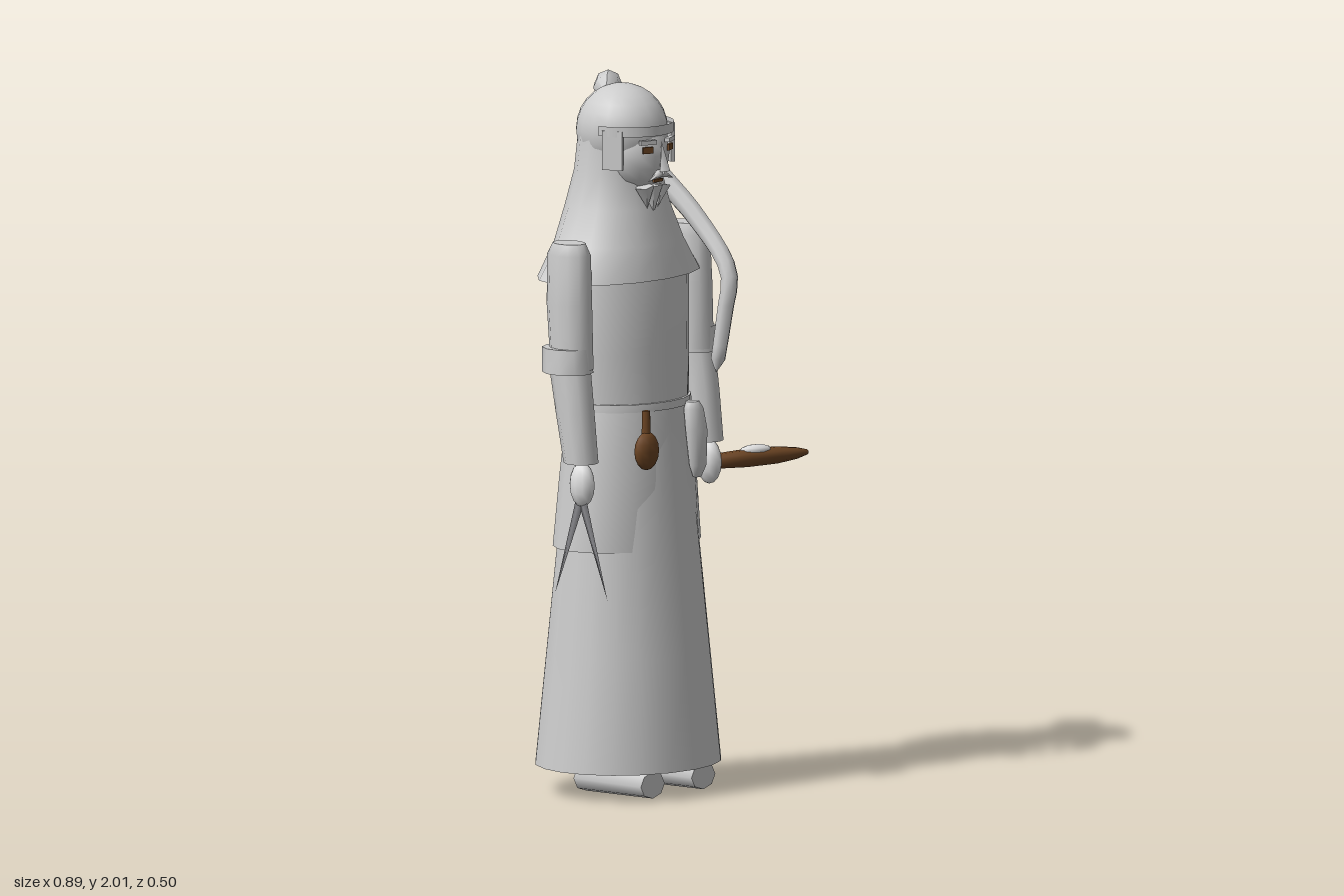
import * as THREE from 'three';

const mat = (name, color) => Object.assign(new THREE.MeshStandardMaterial({ color }), { name });
const cloth = mat('pale grey', 0xcccccc);
const white = mat('off white', 0xe0e0e0);
const brown = mat('brown leather', 0x6b4423);
const steel = mat('steel grey', 0x8c8c90);
const CX = -0.122; // middle of the body

// Closed skin over horizontal elliptical rings [x, y, z, rx, rz], listed from bottom to top
function loft(rings, n = 16) {
  const pos = [], idx = [];
  const ring = ([x, y, z, rx, rz]) => {
    for (let i = 0; i < n; i++) {
      const a = (i / n) * Math.PI * 2;
      pos.push(x + rx * Math.sin(a), y, z + rz * Math.cos(a));
    }
  };
  rings.forEach(ring);
  for (let r = 0; r < rings.length - 1; r++) for (let i = 0; i < n; i++) {
    const a = r * n + i, b = r * n + (i + 1) % n;
    idx.push(a, b, b + n, a, b + n, a + n);
  }
  // separate cap vertices keep the rims sharp
  for (const [r, up] of [[rings[0], false], [rings[rings.length - 1], true]]) {
    const s = pos.length / 3;
    ring(r);
    for (let i = 1; i < n - 1; i++) idx.push(s, up ? s + i : s + i + 1, up ? s + i + 1 : s + i);
  }
  const g = new THREE.BufferGeometry();
  g.setAttribute('position', new THREE.Float32BufferAttribute(pos, 3));
  g.setIndex(idx);
  g.computeVertexNormals();
  return g;
}

// Tube along a curve whose radius follows a rule; a zero radius closes the end
function taperedTube(points, radius, segs, sides) {
  const curve = new THREE.CatmullRomCurve3(points.map((p) => new THREE.Vector3(...p)));
  const g = new THREE.TubeGeometry(curve, segs, 1, sides);
  const p = g.attributes.position, v = new THREE.Vector3(), c = new THREE.Vector3();
  for (let i = 0; i < p.count; i++) {
    const k = Math.floor(i / (sides + 1));
    curve.getPointAt(k / segs, c);
    v.fromBufferAttribute(p, i).sub(c).multiplyScalar(k === 0 || k === segs ? 0 : radius(k / segs)).add(c);
    p.setXYZ(i, v.x, v.y, v.z);
  }
  g.computeVertexNormals();
  return g;
}

export function createModel() {
  const model = new THREE.Group();
  model.name = 'robedFigure';
  const add = (name, geo, m = cloth, x = 0, y = 0, z = 0, parent = model) => {
    const mesh = new THREE.Mesh(geo, m);
    mesh.name = name;
    mesh.position.set(x, y, z);
    parent.add(mesh);
    return mesh;
  };
  const ball = (name, m, x, y, z, sx, sy, sz, w = 14, h = 10) => {
    const mesh = add(name, new THREE.SphereGeometry(1, w, h), m, x, y, z);
    mesh.scale.set(sx, sy, sz);
    return mesh;
  };

  // Robe
  add('skirt', loft([
    [CX, 0.083, -0.005, 0.28, 0.245], [CX, 0.4, -0.005, 0.247, 0.215],
    [CX, 0.75, -0.005, 0.212, 0.18], [CX, 1.05, -0.003, 0.18, 0.155]], 20));
  add('tunicSkirt', loft([
    [CX, 0.7, -0.01, 0.238, 0.178], [CX, 0.9, -0.006, 0.217, 0.168], [CX, 1.1, -0.003, 0.193, 0.152]], 20));
  add('torso', loft([
    [CX, 1.09, -0.003, 0.19, 0.148], [CX, 1.25, -0.003, 0.198, 0.14],
    [CX, 1.45, -0.005, 0.205, 0.135], [CX, 1.54, -0.01, 0.18, 0.11]], 20));
  add('belt', loft([[CX, 1.09, -0.003, 0.197, 0.156], [CX, 1.112, -0.003, 0.196, 0.155]], 20));

  // Hood with shoulder cape
  add('cape', loft([
    [CX, 1.455, -0.04, 0.278, 0.18], [CX, 1.55, -0.04, 0.205, 0.158], [CX, 1.65, -0.045, 0.157, 0.137],
    [CX, 1.75, -0.045, 0.13, 0.112], [CX, 1.86, -0.04, 0.122, 0.105]], 16));
  ball('hoodCrown', cloth, CX - 0.003, 1.86, -0.025, 0.125, 0.13, 0.133, 18, 14);
  const brim = add('hoodBrim', new THREE.CylinderGeometry(0.126, 0.126, 0.028, 14, 1, true,
    -Math.PI / 2, Math.PI), cloth, CX - 0.003, 1.873, 0);
  brim.material.side = THREE.DoubleSide;
  for (const s of [-1, 1]) {
    const flap = add('hoodCheek', new THREE.BoxGeometry(0.012, 0.11, 0.06), cloth, CX + s * 0.115, 1.82, 0.04);
    flap.rotation.y = s * -0.35;
  }
  add('hoodTail', taperedTube([
    [-0.14, 1.955, -0.07], [-0.075, 1.972, -0.12], [-0.01, 1.91, -0.165], [0.025, 1.8, -0.13],
    [0.05, 1.7, -0.03], [0.058, 1.6, 0.09], [0.048, 1.46, 0.218], [0.035, 1.35, 0.215], [0.015, 1.18, 0.2]],
  (t) => 0.04 - 0.02 * t, 28, 8));

  // Face
  ball('face', cloth, CX - 0.003, 1.8, 0.015, 0.098, 0.115, 0.105);
  const nose = add('nose', new THREE.ConeGeometry(0.02, 0.085, 4), cloth, CX - 0.003, 1.8, 0.128);
  nose.rotation.x = -0.15;
  for (const s of [-1, 1]) {
    const x = CX - 0.003 + s * 0.046;
    add('eye', new THREE.BoxGeometry(0.03, 0.018, 0.008), brown, x, 1.82, 0.112).rotation.y = s * 0.4;
    add('eyebrow', new THREE.BoxGeometry(0.05, 0.012, 0.014), cloth, x, 1.842, 0.112).rotation.y = s * 0.4;
    const whisker = add('moustache', new THREE.ConeGeometry(0.012, 0.055, 5), cloth, CX - 0.003 + s * 0.028, 1.742, 0.118);
    whisker.rotation.z = s * -1.95;
  }
  add('mouth', new THREE.BoxGeometry(0.036, 0.008, 0.008), brown, CX - 0.003, 1.73, 0.108);
  for (const [dx, len, tilt] of [[0, 0.09, 0], [-0.028, 0.065, -0.2], [0.028, 0.065, 0.2]]) {
    const lock = add('beard', new THREE.ConeGeometry(0.028, len, 5), cloth, CX - 0.003 + dx, 1.7 - len / 2 + 0.015, 0.088);
    lock.rotation.set(Math.PI, 0, tilt);
  }

  // Arms and shoes
  for (const s of [-1, 1]) {
    const X = (d) => CX + s * d;
    add('upperSleeve', loft([
      [X(0.252), 1.22, 0.01, 0.053, 0.065], [X(0.252), 1.4, 0, 0.054, 0.07],
      [X(0.25), 1.54, -0.003, 0.05, 0.068], [X(0.247), 1.572, -0.005, 0.04, 0.05]], 12));
    add('sleeveCuff', loft([[X(0.262), 1.21, 0.003, 0.066, 0.075], [X(0.262), 1.28, -0.002, 0.062, 0.073]], 10));
    add('forearm', loft([
      [X(0.262), 0.96, 0.052, 0.047, 0.05], [X(0.262), 1.1, 0.03, 0.05, 0.057], [X(0.26), 1.23, 0.008, 0.052, 0.062]], 10));
    ball('hand', white, X(0.266), 0.9, 0.06, 0.031, 0.063, 0.04, 10, 8);
    const shoe = add('shoe', new THREE.CylinderGeometry(0.05, 0.056, 0.245, 8), cloth, X(0.106), 0.046, 0.058);
    shoe.rotation.x = Math.PI / 2;
    shoe.scale.z = 0.75;
  }

  // Open shears in the right hand
  const shears = new THREE.Group();
  shears.name = 'shears';
  shears.position.set(-0.392, 0.87, 0.06);
  model.add(shears);
  for (const s of [-1, 1]) {
    const blade = add('blade', new THREE.ConeGeometry(0.017, 0.31, 4), steel, 0, -0.14, s * 0.047, shears);
    blade.rotation.set(Math.PI - s * 0.33, 0, 0);
    blade.scale.x = 0.4;
  }

  // Roll held in the left hand, with a pale patch on top
  const roll = new THREE.Group();
  roll.name = 'roll';
  roll.position.set(0.155, 0.9, 0.075);
  roll.rotation.y = -0.28;
  model.add(roll);
  const profile = [[0, 0], [0.026, 0.005], [0.031, 0.1], [0.029, 0.2], [0.02, 0.265], [0.009, 0.3], [0, 0.302]];
  const body = add('rollBody', new THREE.LatheGeometry(profile.map((p) => new THREE.Vector2(...p)), 10), brown, 0, 0, 0, roll);
  body.rotation.z = -Math.PI / 2;
  body.scale.x = 0.82;
  const patch = add('rollPatch', new THREE.SphereGeometry(1, 10, 6), white, 0.13, 0.02, 0, roll);
  patch.scale.set(0.052, 0.016, 0.024);

  // Things hanging from the belt
  ball('flask', brown, -0.236, 0.987, 0.165, 0.043, 0.054, 0.026, 10, 8);
  add('flaskNeck', new THREE.CylinderGeometry(0.011, 0.013, 0.08, 8), brown, -0.235, 1.06, 0.162);
  const sheath = loft([
    [-0.008, 0.885, 0.15, 0.014, 0.01], [-0.013, 0.92, 0.157, 0.028, 0.022],
    [-0.02, 1.02, 0.158, 0.037, 0.027], [-0.025, 1.08, 0.152, 0.033, 0.025], [-0.025, 1.1, 0.148, 0.022, 0.018]], 10);
  add('sheath', sheath);
  return model;
}
